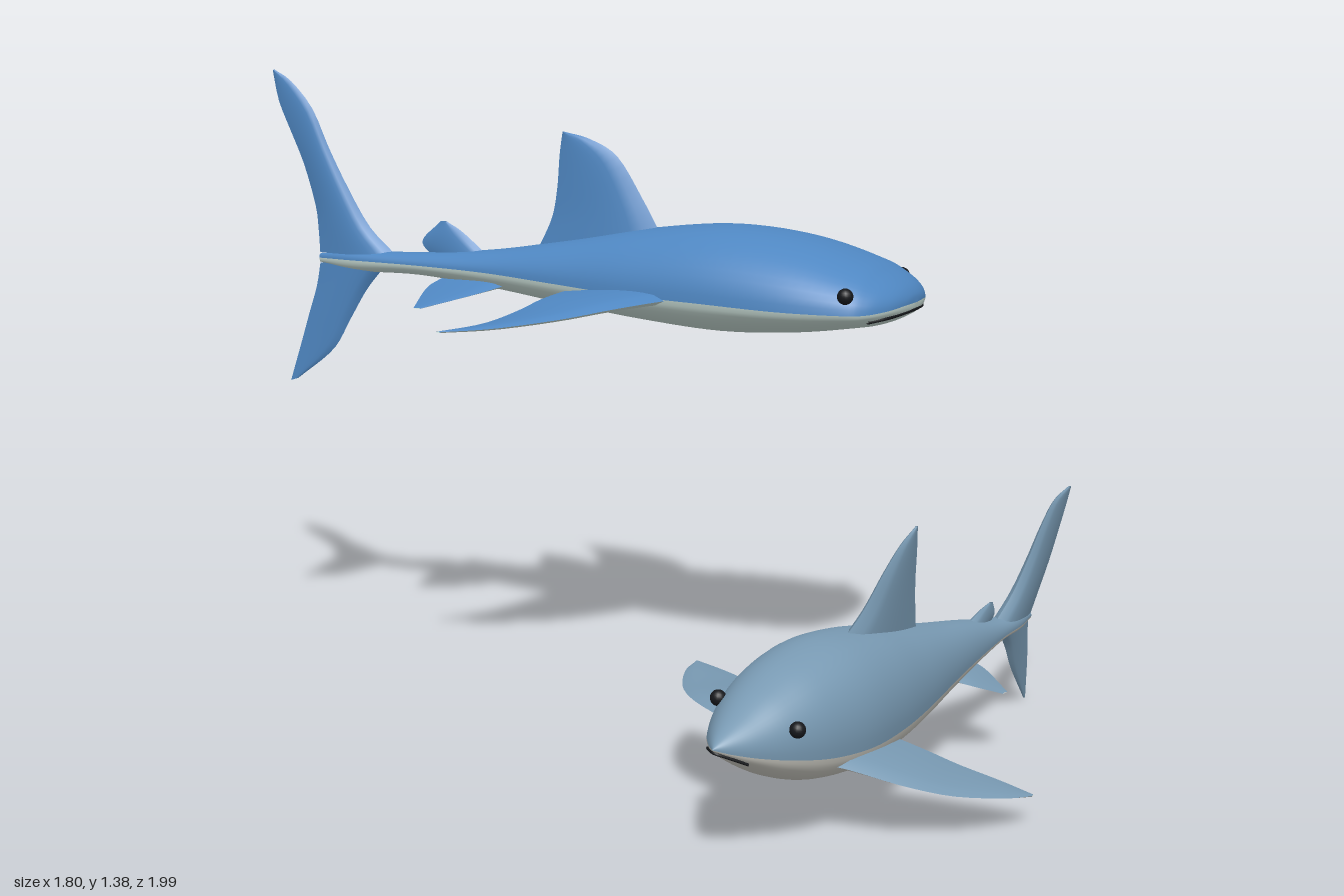
import * as THREE from 'three';

const mat = (name, color) =>
  new THREE.MeshStandardMaterial({ name, color, side: THREE.DoubleSide });

const blue = mat('ocean blue', 0x4f87c2);
const paleGreen = mat('pale belly', 0xc3d6d0);
const slate = mat('slate grey', 0x7899b2);
const paleGrey = mat('grey belly', 0xc6c5bd);
const dark = mat('dark eye', 0x16181c);

const curve = (pts) => new THREE.CatmullRomCurve3(
  pts.map((p) => new THREE.Vector3(...p)), false, 'catmullrom', 0.5);

// Grid of faces over rows of equal length, with one group per patch
function patchGeometry(patches) {
  const pos = [], index = [], geo = new THREE.BufferGeometry();
  patches.forEach((rows, g) => {
    const base = pos.length / 3, n = rows[0].length, start = index.length;
    rows.forEach((row) => row.forEach((p) => pos.push(p.x, p.y, p.z)));
    for (let i = 0; i < rows.length - 1; i++) {
      for (let j = 0; j < n - 1; j++) {
        const a = base + i * n + j, b = a + n;
        index.push(a, b, a + 1, b, b + 1, a + 1);
      }
    }
    geo.addGroup(start, index.length - start, g);
  });
  geo.setAttribute('position', new THREE.Float32BufferAttribute(pos, 3));
  geo.setIndex(index);
  geo.computeVertexNormals();
  return geo;
}

// Body from stations [x, top, bottom, seam height, half width]
function body(name, stations, materials) {
  const heights = curve(stations.map(([x, t, b]) => [x, t, b]));
  const seams = curve(stations.map(([x, , , s, w]) => [x, s, w]));
  const steps = 72, sides = 24;
  const half = (up) => {
    const rows = [];
    for (let i = 0; i <= steps; i++) {
      const h = heights.getPoint(i / steps), s = seams.getPoint(i / steps);
      const reach = (up ? h.y : h.z) - s.y, row = [];
      for (let j = 0; j <= sides; j++) {
        const a = (up ? 1 : -1) * Math.PI * j / sides;
        const c = Math.cos(a);
        row.push(new THREE.Vector3(h.x,
          s.y + reach * Math.abs(Math.sin(a)),
          Math.max(0, s.z) * Math.sign(c) * Math.abs(c) ** 0.9));
      }
      rows.push(row);
    }
    return rows;
  };
  const mesh = new THREE.Mesh(patchGeometry([half(true), half(false)]), materials);
  mesh.name = name;
  return mesh;
}

// Fin lofted between a leading and a trailing edge, with a lens section
function fin(name, lead, trail, normal, thickness, materials) {
  const L = curve(lead), T = curve(trail), N = new THREE.Vector3(...normal);
  const face = (sign) => {
    const rows = [];
    for (let i = 0; i <= 18; i++) {
      const v = i / 18, a = L.getPoint(v), b = T.getPoint(v), row = [];
      for (let j = 0; j <= 10; j++) {
        const c = j / 10;
        const t = thickness * (1 - 0.9 * v) * 2.6 * Math.sqrt(c) * (1 - c) / 2;
        row.push(a.clone().lerp(b, c).addScaledVector(N, sign * t));
      }
      rows.push(row);
    }
    return rows;
  };
  const mesh = new THREE.Mesh(patchGeometry([face(1), face(-1)]), materials);
  mesh.name = name;
  return mesh;
}

const uprightFin = (name, lead, trail, thickness, m) => fin(name,
  lead.map(([x, y]) => [x, y, 0]), trail.map(([x, y]) => [x, y, 0]),
  [0, 0, 1], thickness, [m, m]);

// Mirrored pair of side fins
function finPair(group, name, lead, trail, thickness, materials) {
  for (const s of [1, -1]) {
    const flip = (pts) => pts.map(([x, y, z]) => [x, y, z * s]);
    group.add(fin((s > 0 ? 'right' : 'left') + name, flip(lead), flip(trail),
      [0, 1, 0], thickness, materials));
  }
}

function eyes(group, x, y, z, r) {
  for (const s of [1, -1]) {
    const eye = new THREE.Mesh(new THREE.SphereGeometry(r, 16, 12), dark);
    eye.position.set(x, y, z * s);
    eye.name = s > 0 ? 'rightEye' : 'leftEye';
    group.add(eye);
  }
}

function mouth(group, half, r) {
  const pts = [...half, ...half.slice(0, -1).reverse().map(([x, y, z]) => [x, y, -z])];
  const mesh = new THREE.Mesh(new THREE.TubeGeometry(curve(pts), 32, r, 6), dark);
  mesh.name = 'mouth';
  group.add(mesh);
}

// Broad, flat-headed blue shark, swimming above
function broadShark() {
  const g = new THREE.Group();
  g.name = 'broadHeadedShark';
  const two = [blue, paleGreen];
  g.add(body('body', [
    [0.435, 0.9, 0.9, 0.9, 0], [0.43, 0.92, 0.882, 0.9, 0.07],
    [0.412, 0.942, 0.868, 0.895, 0.135], [0.375, 0.967, 0.853, 0.89, 0.19],
    [0.32, 0.994, 0.843, 0.89, 0.218], [0.18, 1.036, 0.825, 0.893, 0.232],
    [0, 1.056, 0.817, 0.9, 0.218], [-0.2, 1.04, 0.832, 0.905, 0.18],
    [-0.4, 1.005, 0.855, 0.915, 0.128], [-0.6, 0.973, 0.882, 0.925, 0.077],
    [-0.8, 0.957, 0.903, 0.93, 0.045], [-0.98, 0.953, 0.905, 0.932, 0.026],
    [-1.08, 0.942, 0.922, 0.932, 0.004]], two));
  g.add(uprightFin('dorsalFin',
    [[-0.18, 1.02], [-0.225, 1.1], [-0.29, 1.2], [-0.36, 1.24], [-0.425, 1.255]],
    [[-0.5, 0.97], [-0.46, 1.05], [-0.445, 1.12], [-0.438, 1.2], [-0.43, 1.255]], 0.05, blue));
  g.add(uprightFin('secondDorsalFin',
    [[-0.62, 0.95], [-0.69, 1.008], [-0.735, 1.034]],
    [[-0.76, 0.94], [-0.8, 0.983], [-0.75, 1.034]], 0.03, blue));
  g.add(uprightFin('upperTailLobe',
    [[-0.87, 0.945], [-0.94, 1.01], [-0.997, 1.1], [-1.05, 1.2], [-1.093, 1.293], [-1.15, 1.358], [-1.196, 1.385]],
    [[-1.08, 0.945], [-1.083, 1], [-1.09, 1.06], [-1.12, 1.16], [-1.155, 1.24], [-1.185, 1.31], [-1.2, 1.383]], 0.045, blue));
  g.add(uprightFin('lowerTailLobe',
    [[-0.9, 0.922], [-0.953, 0.86], [-1, 0.785], [-1.05, 0.707], [-1.15, 0.63]],
    [[-1.08, 0.92], [-1.092, 0.86], [-1.112, 0.8], [-1.138, 0.72], [-1.17, 0.624]], 0.035, blue));
  finPair(g, 'PectoralFin',
    [[-0.04, 0.9, 0.12], [-0.09, 0.9, 0.2], [-0.17, 0.89, 0.3], [-0.265, 0.872, 0.375], [-0.4, 0.852, 0.432], [-0.525, 0.84, 0.455]],
    [[-0.36, 0.9, 0.06], [-0.37, 0.9, 0.14], [-0.39, 0.89, 0.22], [-0.415, 0.872, 0.285], [-0.46, 0.852, 0.37], [-0.535, 0.84, 0.455]], 0.04, two);
  finPair(g, 'PelvicFin',
    [[-0.54, 0.9, 0.05], [-0.6, 0.88, 0.115], [-0.725, 0.845, 0.162]],
    [[-0.74, 0.9, 0.02], [-0.76, 0.88, 0.06], [-0.745, 0.845, 0.158]], 0.025, two);
  eyes(g, 0.335, 0.932, 0.207, 0.018);
  mouth(g, [[0.375, 0.872, 0.172], [0.412, 0.879, 0.115], [0.431, 0.884, 0]], 0.004);
  g.position.set(0.178, 0, -0.358);
  g.rotation.y = -0.461;
  return g;
}

// Pointed slate shark, banking below
function pointedShark() {
  const g = new THREE.Group();
  g.name = 'pointedShark';
  const two = [slate, paleGrey];
  const add = new THREE.Group();
  add.name = 'pointedSharkParts';
  add.position.y = -0.22;
  g.add(add);
  add.add(body('body', [
    [0, 0.232, 0.23, 0.231, 0], [-0.03, 0.252, 0.212, 0.224, 0.028],
    [-0.08, 0.28, 0.182, 0.216, 0.064], [-0.15, 0.317, 0.148, 0.208, 0.101],
    [-0.24, 0.35, 0.122, 0.2, 0.13], [-0.36, 0.367, 0.112, 0.196, 0.145],
    [-0.5, 0.356, 0.116, 0.196, 0.135], [-0.65, 0.328, 0.13, 0.198, 0.11],
    [-0.8, 0.3, 0.15, 0.203, 0.08], [-0.95, 0.275, 0.175, 0.21, 0.054],
    [-1.1, 0.246, 0.197, 0.216, 0.032], [-1.2, 0.238, 0.2, 0.217, 0.022],
    [-1.28, 0.222, 0.208, 0.216, 0.004]], two));
  add.add(uprightFin('dorsalFin',
    [[-0.42, 0.345], [-0.49, 0.4], [-0.545, 0.465], [-0.595, 0.515], [-0.648, 0.546]],
    [[-0.74, 0.29], [-0.715, 0.35], [-0.69, 0.42], [-0.672, 0.49], [-0.655, 0.546]], 0.045, slate));
  add.add(uprightFin('secondDorsalFin',
    [[-0.97, 0.26], [-1.02, 0.283], [-1.06, 0.294]],
    [[-1.08, 0.24], [-1.095, 0.262], [-1.075, 0.292]], 0.025, slate));
  add.add(uprightFin('upperTailLobe',
    [[-1.1, 0.23], [-1.165, 0.29], [-1.21, 0.36], [-1.245, 0.43], [-1.285, 0.485], [-1.35, 0.508]],
    [[-1.28, 0.215], [-1.3, 0.27], [-1.325, 0.34], [-1.345, 0.42], [-1.356, 0.47], [-1.362, 0.506]], 0.04, slate));
  add.add(uprightFin('lowerTailLobe',
    [[-1.13, 0.21], [-1.18, 0.165], [-1.235, 0.1], [-1.335, 0.004]],
    [[-1.275, 0.21], [-1.29, 0.165], [-1.315, 0.1], [-1.345, 0.002]], 0.03, slate));
  finPair(add, 'PectoralFin',
    [[-0.22, 0.175, 0.08], [-0.26, 0.175, 0.135], [-0.31, 0.165, 0.24], [-0.38, 0.152, 0.315], [-0.48, 0.142, 0.375], [-0.555, 0.135, 0.4]],
    [[-0.48, 0.175, 0.05], [-0.485, 0.175, 0.13], [-0.505, 0.165, 0.19], [-0.528, 0.152, 0.25], [-0.553, 0.142, 0.33], [-0.565, 0.135, 0.398]], 0.035, two);
  finPair(add, 'PelvicFin',
    [[-0.82, 0.19, 0.04], [-0.86, 0.18, 0.09], [-0.93, 0.16, 0.13]],
    [[-0.97, 0.19, 0.02], [-0.975, 0.18, 0.06], [-0.95, 0.16, 0.13]], 0.02, two);
  eyes(add, -0.143, 0.268, 0.09, 0.016);
  mouth(add, [[-0.06, 0.203, 0.046], [-0.03, 0.215, 0.024], [-0.008, 0.223, 0]], 0.003);
  g.position.set(0.005, 0.22, 0.99);
  g.rotation.set(-0.185, -2.247, 0, 'YXZ');
  return g;
}

export function createModel() {
  const model = new THREE.Group();
  model.name = 'twoSharks';
  model.add(broadShark(), pointedShark());
  return model;
}
